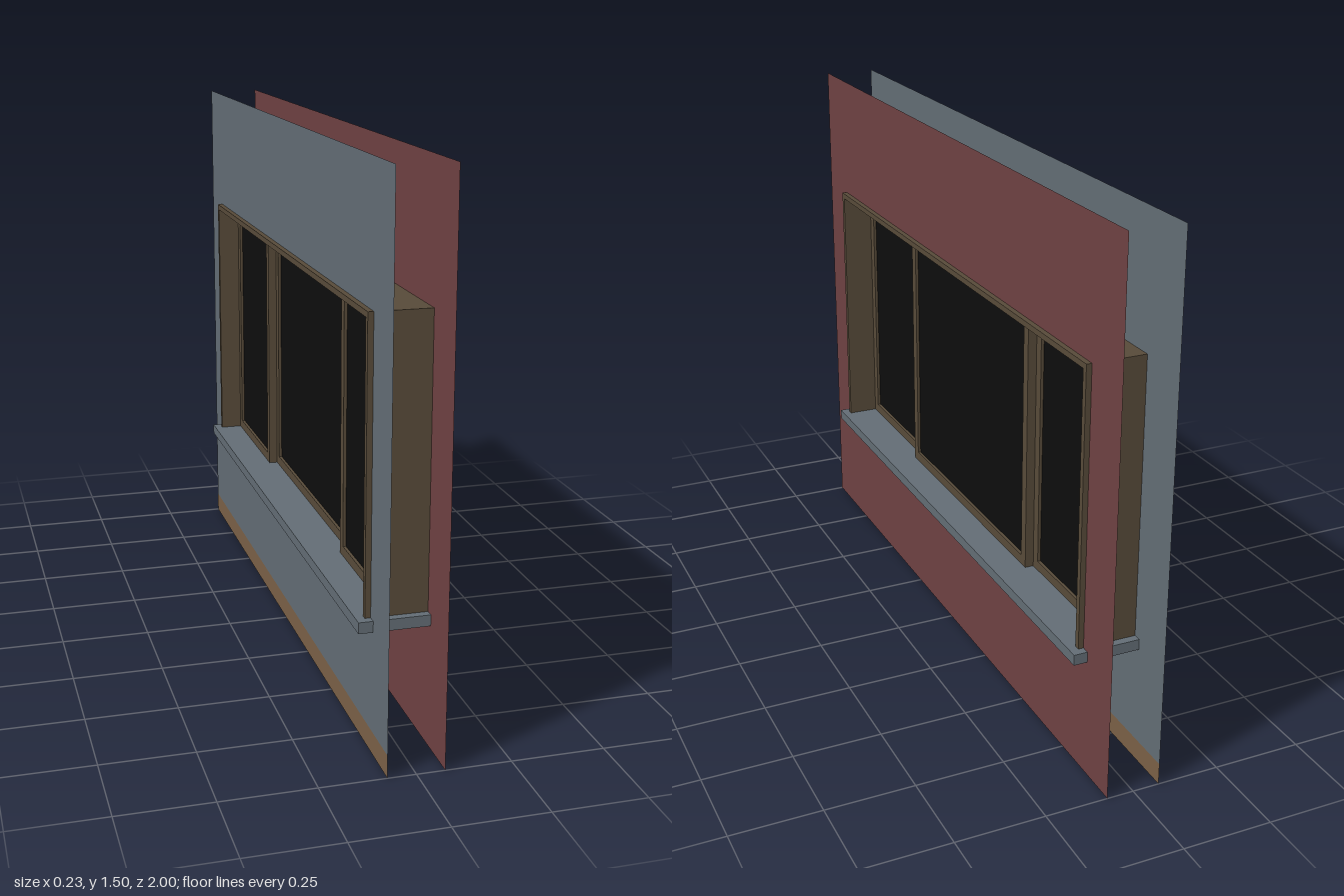
import * as THREE from 'three';

const mat = (name, color, side = THREE.FrontSide) => {
  const m = new THREE.MeshStandardMaterial({ color, side });
  m.name = name;
  return m;
};

export function createModel() {
  const brick = mat('brick red', 0x6e4142, THREE.DoubleSide);
  const plaster = mat('grey plaster', 0x626c74, THREE.DoubleSide);
  const skirtingWood = mat('skirting brown', 0x7a6046, THREE.DoubleSide);
  const stone = mat('sill grey', 0x626c74);
  const wood = mat('frame brown', 0x574a39);
  const glass = mat('dark glass', 0x0d0d0d);

  const model = new THREE.Group();
  model.name = 'windowInWall';

  // Box given by its limits along each axis
  const box = (parent, name, material, x0, x1, y0, y1, z0, z1) => {
    const mesh = new THREE.Mesh(new THREE.BoxGeometry(x1 - x0, y1 - y0, z1 - z0), material);
    mesh.position.set((x0 + x1) / 2, (y0 + y1) / 2, (z0 + z1) / 2);
    mesh.name = name;
    parent.add(mesh);
  };

  const rect = (target, w, y0, y1) => {
    target.moveTo(-w, y0).lineTo(w, y0).lineTo(w, y1).lineTo(-w, y1).closePath();
    return target;
  };

  // Flat sheet standing across x, facing the given side
  const sheet = (name, shape, material, side) => {
    const mesh = new THREE.Mesh(new THREE.ShapeGeometry(shape), material);
    mesh.rotation.y = side * Math.PI / 2;
    mesh.position.x = side * 0.075;
    mesh.name = name;
    model.add(mesh);
  };

  // Outer and inner wall sheets with the window opening
  const wallShape = bottom => {
    const shape = rect(new THREE.Shape(), 1, bottom, 1.5);
    shape.holes.push(rect(new THREE.Path(), 0.842, 0.345, 1.128));
    return shape;
  };
  const skirtingTop = 0.06;
  sheet('outerWall', wallShape(0), brick, 1);
  sheet('innerWall', wallShape(skirtingTop), plaster, -1);
  sheet('skirting', rect(new THREE.Shape(), 1, 0, skirtingTop), skirtingWood, -1);

  // Sill through the whole wall
  box(model, 'sill', stone, -0.113, 0.113, 0.33, 0.36, -0.872, 0.872);

  // Lining of the opening
  const lining = new THREE.Group();
  lining.name = 'lining';
  model.add(lining);
  box(lining, 'liningHead', wood, -0.09, 0.09, 1.12, 1.136, -0.85, 0.85);
  box(lining, 'liningLeft', wood, -0.09, 0.09, 0.36, 1.12, 0.834, 0.85);
  box(lining, 'liningRight', wood, -0.09, 0.09, 0.36, 1.12, -0.85, -0.834);

  // Sashes: the middle one sits on the outer track, the side ones on the inner track
  const sash = (name, x0, x1, z0, z1) => {
    const g = new THREE.Group();
    g.name = name;
    model.add(g);
    const t = 0.027, y0 = 0.36, y1 = 1.12, xm = (x0 + x1) / 2;
    box(g, 'stileRight', wood, x0, x1, y0, y1, z0, z0 + t);
    box(g, 'stileLeft', wood, x0, x1, y0, y1, z1 - t, z1);
    box(g, 'bottomRail', wood, x0, x1, y0, y0 + t, z0 + t, z1 - t);
    box(g, 'topRail', wood, x0, x1, y1 - t, y1, z0 + t, z1 - t);
    box(g, 'pane', glass, xm - 0.004, xm + 0.004, y0 + t, y1 - t, z0 + t, z1 - t);
  };
  sash('middleSash', 0, 0.025, -0.407, 0.407);
  sash('leftSash', -0.025, 0, 0.407, 0.834);
  sash('rightSash', -0.025, 0, -0.834, -0.407);

  return model;
}
